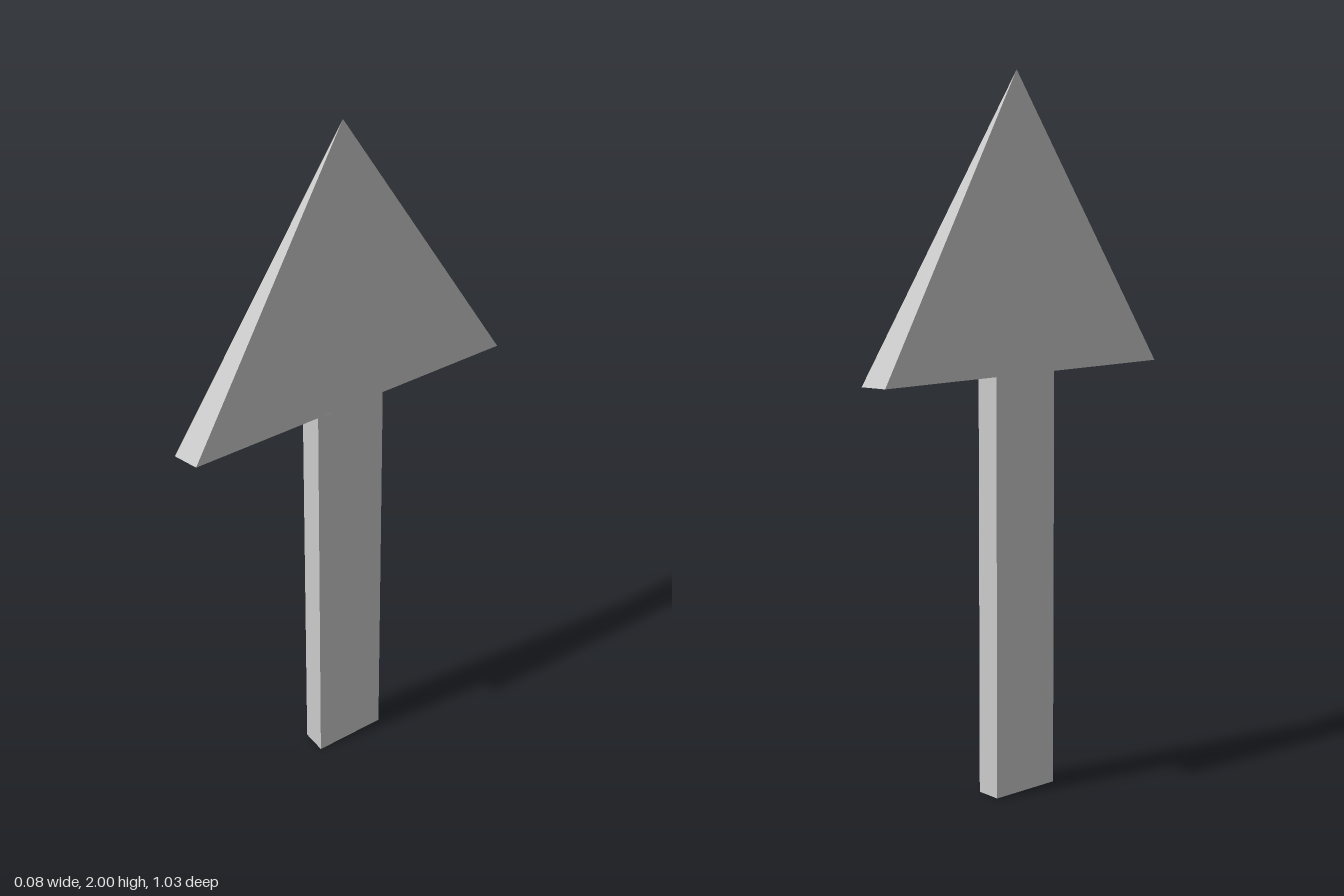
import * as THREE from 'three';

const material = new THREE.MeshStandardMaterial({ color: 0xcccccc, flatShading: true });

// Lofts a four-cornered base outline [x, z] at y0 up to y1, scaling it by topScale.
function loft(name, corners, y0, y1, topScale) {
  const low = corners.map(([x, z]) => [x, y0, z]);
  const high = corners.map(([x, z]) => [x * topScale, y1, z * topScale]);
  const points = [];
  for (let i = 0; i < 4; i++) {
    const j = (i + 1) % 4;
    points.push(low[i], low[j], high[j]);
    if (topScale > 0) points.push(low[i], high[j], high[i]);
  }
  points.push(low[0], low[2], low[1], low[0], low[3], low[2]);
  if (topScale > 0) points.push(high[0], high[1], high[2], high[0], high[2], high[3]);
  const geometry = new THREE.BufferGeometry();
  geometry.setAttribute('position', new THREE.Float32BufferAttribute(points.flat(), 3));
  geometry.computeVertexNormals();
  const mesh = new THREE.Mesh(geometry, material);
  mesh.name = name;
  return mesh;
}

// Two corners on the left side, mirrored through the centre to the right side.
const outline = (front, back) => [front, back, ...[front, back].map(([x, z]) => [-x, -z])];

export function createModel() {
  const group = new THREE.Group();
  group.name = 'arrow';

  // Flat shaft standing on the ground
  group.add(loft('shaft', outline([0.039, 0.112], [0.038, -0.107]), 0, 1.18, 1));

  // Slightly skewed head tapering to a point
  group.add(loft('arrowHead', outline([0.04, 0.502], [0.037, -0.517]), 1.18, 2, 0));

  return group;
}
